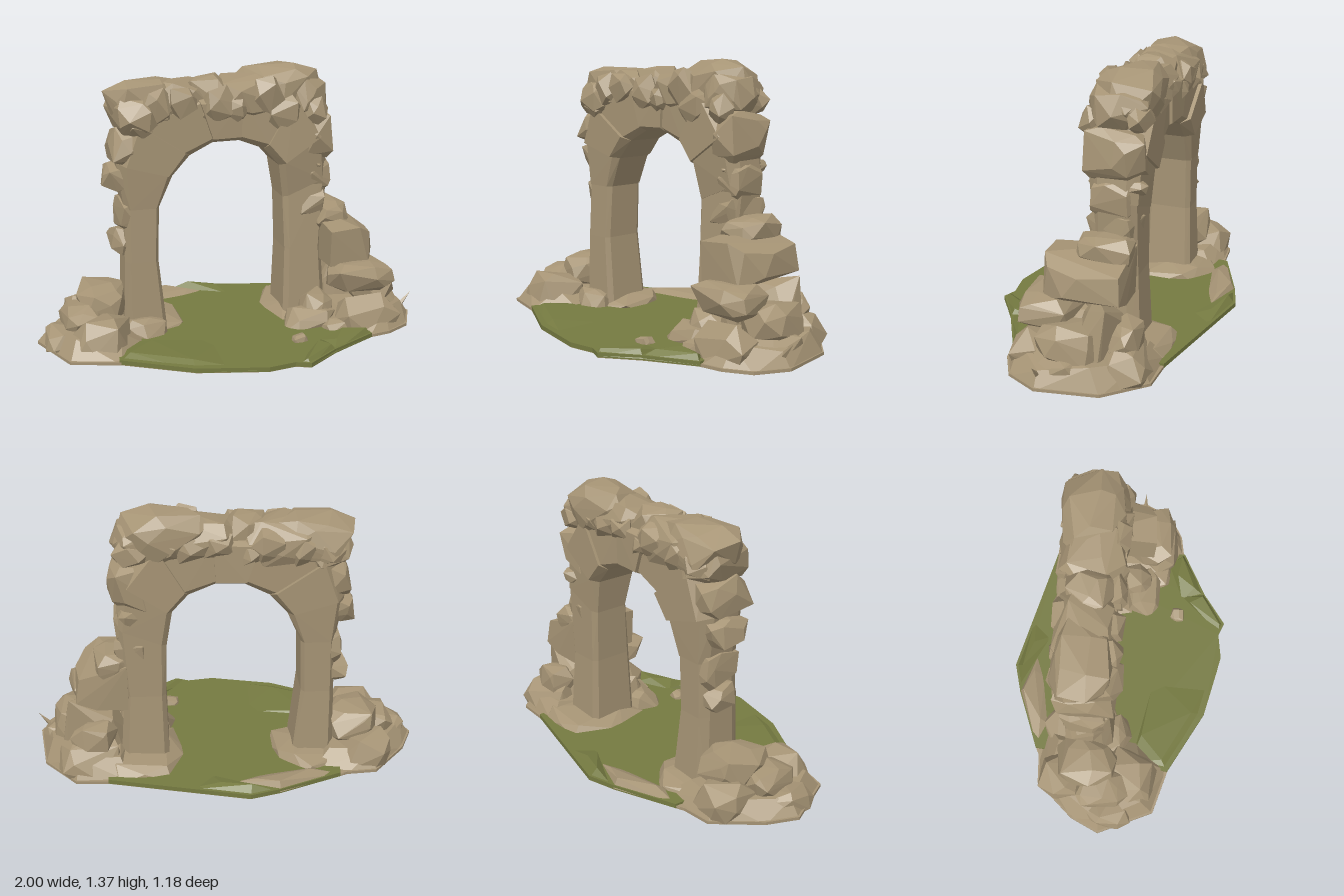
import * as THREE from 'three';
import { ConvexGeometry } from 'three/addons/geometries/ConvexGeometry.js';

const stone = new THREE.MeshStandardMaterial({ color: 0xa69475, flatShading: true });
stone.name = 'stone';
const moss = new THREE.MeshStandardMaterial({ color: 0x757a41, flatShading: true });
moss.name = 'moss';

// small seeded generator
function seeded(seed) {
  let s = seed * 7919 + 13;
  return () => {
    s = (s + 0x6d2b79f5) | 0;
    let t = Math.imul(s ^ (s >>> 15), 1 | s);
    t = (t + Math.imul(t ^ (t >>> 7), 61 | t)) ^ t;
    return ((t ^ (t >>> 14)) >>> 0) / 4294967296;
  };
}

// faceted boulder filling the box [x0,x1, y0,y1, z0,z1]; boulders on the ground get a flat foot
function rock(box, seed, n = 22, power = 0.7) {
  const rand = seeded(seed), pts = [];
  const [x0, x1, y0, y1, z0, z1] = box;
  const square = v => Math.sign(v) * Math.pow(Math.abs(v), power);
  for (let i = 0; i < n; i++) {
    const h = 1 - 2 * (i + 0.5) / n, a = i * 2.39996 + rand() * 0.9, r = Math.sqrt(1 - h * h);
    const p = new THREE.Vector3(square(r * Math.cos(a)), square(h), square(r * Math.sin(a)));
    p.multiplyScalar(0.86 + rand() * 0.28);
    if (y0 === 0 && p.y < 0) p.y = 0;
    pts.push(p);
  }
  const b = new THREE.Box3().setFromPoints(pts), size = b.getSize(new THREE.Vector3());
  for (const p of pts) {
    p.sub(b.min).divide(size);
    p.set(x0 + p.x * (x1 - x0), y0 + p.y * (y1 - y0), z0 + p.z * (z1 - z0));
  }
  return new ConvexGeometry(pts);
}

// faceted block through given corners
const hull = corners => new ConvexGeometry(corners.map(c => new THREE.Vector3(...c)));

// flat plate from an outline of [x, z] points
function plate(outline, bottom, top) {
  const shape = new THREE.Shape(outline.map(([x, z]) => new THREE.Vector2(x, -z)));
  const g = new THREE.ExtrudeGeometry(shape, { depth: top - bottom, bevelEnabled: false });
  return g.rotateX(-Math.PI / 2).translate(0, bottom, 0);
}

// chamfered cross-section of the arch between an inner and an outer point
function section([ix, iy, ox, oy, zf, zb], bulge) {
  const at = (t, z) => new THREE.Vector3(ix + (ox - ix) * t, iy + (oy - iy) * t, z);
  const d = zf - zb, f = zf + bulge, b = zb - bulge;
  return [at(0, zf - d * 0.1), at(0.1, f), at(0.85, f), at(1, zf - d * 0.2),
    at(1, zb + d * 0.2), at(0.85, b), at(0.1, b), at(0, zb + d * 0.1)];
}

export function createModel() {
  const model = new THREE.Group();
  model.name = 'rockArch';

  function add(name, geometry, material = stone, parent = model) {
    const m = new THREE.Mesh(geometry, material);
    m.name = name;
    parent.add(m);
    return m;
  }
  function pile(name, boxes, seed, n, power) {
    const g = new THREE.Group();
    g.name = name;
    boxes.forEach((b, i) => add(name + 'Rock' + (i + 1), rock(b, seed + i, n, power), stone, g));
    model.add(g);
  }

  // ground: stone slab with a mossy plate across the middle
  add('groundSlab', plate([
    [-1, -0.05], [-0.93, -0.2], [-0.75, -0.4], [-0.6, -0.41], [-0.24, -0.55], [-0.09, -0.59],
    [0.6, -0.42], [0.77, -0.41], [0.94, -0.22], [0.99, 0.08], [0.91, 0.24], [0.78, 0.31],
    [0.66, 0.33], [0.42, 0.46], [0.25, 0.58], [0.18, 0.55], [0.04, 0.57], [-0.3, 0.49],
    [-0.63, 0.31], [-0.87, 0.24]], 0, 0.015));
  add('mossGround', plate([
    [-0.64, 0.305], [-0.3, 0.493], [0.04, 0.573], [0.18, 0.553], [0.25, 0.583], [0.42, 0.463],
    [0.67, 0.333], [0.61, -0.42], [-0.09, -0.593], [-0.24, -0.553], [-0.56, -0.43], [-0.6, 0]],
    0.003, 0.026), moss);

  // low mossy swells along the rim
  add('frontMossSwell', hull([[0.19, 0.01, 0.554], [0.25, 0.01, 0.583], [0.43, 0.01, 0.46],
    [0.4, 0.02, 0.33], [0.24, 0.04, 0.555], [0.4, 0.05, 0.45], [0.36, 0.045, 0.38]]), moss);
  add('sideMossSwell', hull([[0.41, 0.01, 0.47], [0.67, 0.01, 0.333], [0.6, 0.02, 0.24],
    [0.38, 0.02, 0.33], [0.45, 0.05, 0.4], [0.64, 0.055, 0.32], [0.52, 0.06, 0.3]]), moss);
  add('leftMossSwell', hull([[-0.64, 0.01, 0.305], [-0.3, 0.01, 0.493], [-0.02, 0.01, 0.56],
    [-0.1, 0.02, 0.2], [-0.6, 0.02, 0.1], [-0.58, 0.045, 0.27], [-0.3, 0.042, 0.42],
    [-0.45, 0.042, 0.15]]), moss);
  add('backMossSwell', hull([[-0.24, 0.01, -0.553], [-0.09, 0.01, -0.593], [0.25, 0.01, -0.507],
    [0.1, 0.02, -0.4], [-0.1, 0.06, -0.55], [0.05, 0.045, -0.5]]), moss);
  add('backStonePatch', hull([[-0.58, 0.01, -0.42], [-0.24, 0.01, -0.555], [-0.02, 0.02, -0.47],
    [-0.15, 0.02, -0.42], [-0.42, 0.02, -0.37], [-0.24, 0.06, -0.53], [-0.4, 0.05, -0.42],
    [-0.12, 0.045, -0.48]]));

  // sloping stone aprons out to the rim
  add('leftApron', hull([[-1, 0, -0.05], [-0.93, 0, -0.2], [-0.75, 0, -0.4], [-0.6, 0, -0.41],
    [-0.42, 0, -0.38], [-0.46, 0, 0.12], [-0.63, 0, 0.31], [-0.87, 0, 0.24], [-0.94, 0.085, -0.05],
    [-0.74, 0.1, -0.34], [-0.52, 0.09, -0.3], [-0.6, 0.1, 0.15], [-0.83, 0.1, 0.17]]));
  add('rightApron', hull([[0.5, 0, -0.41], [0.77, 0, -0.41], [0.94, 0, -0.22], [0.99, 0, 0.08],
    [0.91, 0, 0.24], [0.78, 0, 0.31], [0.66, 0, 0.33], [0.46, 0, 0.2], [0.55, 0.1, -0.33],
    [0.76, 0.11, -0.35], [0.9, 0.12, -0.16], [0.94, 0.08, 0.08], [0.78, 0.11, 0.24], [0.56, 0.1, 0.16]]));

  // arch ring: ix, iy, ox, oy, front z, back z at every joint
  const joints = [
    [-0.33, 0, -0.55, 0, 0.0, -0.27],
    [-0.37, 0.4, -0.54, 0.4, -0.01, -0.25],
    [-0.36, 0.68, -0.535, 0.68, -0.02, -0.25],
    [-0.29, 0.84, -0.57, 0.92, -0.01, -0.26],
    [-0.2, 0.94, -0.5, 1.14, -0.01, -0.26],
    [-0.08, 1.0, -0.16, 1.24, -0.01, -0.26],
    [0.06, 1.0, 0.07, 1.25, -0.02, -0.25],
    [0.19, 0.95, 0.36, 1.24, -0.01, -0.26],
    [0.27, 0.86, 0.52, 1.03, 0.0, -0.26],
    [0.3, 0.68, 0.55, 0.78, -0.03, -0.25],
    [0.31, 0.4, 0.52, 0.4, -0.01, -0.25],
    [0.3, 0, 0.55, 0, 0.01, -0.27]];
  const bulges = [0, 0, 0.005, 0.025, 0.005, 0.025, 0.01, 0.025, 0.005, 0, 0];
  const ring = new THREE.Group();
  ring.name = 'archRing';
  model.add(ring);
  bulges.forEach((b, i) => add('archBlock' + (i + 1),
    new ConvexGeometry([...section(joints[i], b), ...section(joints[i + 1], b)]), stone, ring));

  // weathered boulders along the top and the shoulders
  pile('archCap', [
    [-0.62, -0.2, 1.08, 1.32, -0.29, 0.01],
    [-0.48, -0.03, 1.08, 1.31, -0.29, 0.01],
    [-0.2, 0.03, 1.08, 1.33, -0.25, 0.0],
    [-0.04, 0.32, 1.09, 1.33, -0.29, 0.02],
    [0.08, 0.54, 1.08, 1.37, -0.31, 0.01],
    [0.3, 0.56, 1.1, 1.32, -0.29, 0.02]], 20, 34, 0.78);
  pile('leftShoulder', [
    [-0.6, -0.36, 1.04, 1.26, -0.29, 0.05],
    [-0.6, -0.36, 0.88, 1.1, -0.28, 0.02],
    [-0.64, -0.44, 0.77, 0.91, -0.25, -0.03],
    [-0.61, -0.46, 0.42, 0.57, -0.24, -0.04],
    [-0.57, -0.44, 0.54, 0.72, -0.25, -0.02]], 40);
  pile('rightShoulder', [
    [0.34, 0.58, 0.86, 1.13, -0.29, 0.03],
    [0.38, 0.56, 0.68, 0.9, -0.26, -0.01],
    [0.38, 0.56, 0.54, 0.72, -0.26, 0.0],
    [0.42, 0.54, 0.8, 0.88, -0.3, 0.0]], 50, 24, 0.6);

  // jagged chips on the front and the back of the arch top
  const chips = [], rand = seeded(9);
  for (let i = 0; i < 16; i++) {
    const x = -0.5 + (i >> 1) * 0.133 + rand() * 0.05, y = 1.21 - 0.3 * x * x + (rand() - 0.5) * 0.1;
    const z = i % 2 ? -0.25 : -0.015, w = 0.07 + rand() * 0.03, h = 0.06 + rand() * 0.04;
    chips.push([x - w, x + w, y - h, y + h, z - 0.055, z + 0.055]);
  }
  pile('archChip', chips, 60, 12, 1);

  // rubble around the left foot
  pile('leftRubble', [
    [-0.64, -0.22, 0, 0.08, -0.4, 0.07],
    [-0.6, -0.34, 0, 0.11, -0.1, 0.1],
    [-0.97, -0.74, 0, 0.11, -0.17, 0.12],
    [-0.84, -0.56, 0, 0.17, -0.39, -0.08],
    [-0.86, -0.54, 0, 0.18, -0.02, 0.26],
    [-0.79, -0.53, 0.06, 0.27, -0.3, 0.03],
    [-0.88, -0.66, 0.04, 0.2, -0.18, 0.1]], 80, 26, 0.75);

  // tall rubble heap leaning on the right foot
  add('largeBoulder', hull([[0.5, 0.34, 0.15], [0.5, 0.53, 0.16], [0.66, 0.54, 0.15],
    [0.73, 0.5, 0.11], [0.77, 0.48, -0.05], [0.74, 0.5, -0.24], [0.5, 0.57, -0.25],
    [0.78, 0.38, 0.02], [0.76, 0.37, -0.25], [0.72, 0.33, 0.14], [0.66, 0.33, -0.25], [0.5, 0.32, -0.24]]));
  pile('rightRubble', [
    [0.2, 0.7, 0, 0.08, -0.42, 0.08],
    [0.47, 0.67, 0.48, 0.63, -0.26, 0.03],
    [0.48, 0.84, 0.18, 0.36, -0.02, 0.26],
    [0.5, 0.85, 0, 0.36, -0.25, 0.0],
    [0.54, 0.88, 0, 0.2, -0.4, -0.14],
    [0.66, 0.95, 0, 0.16, -0.14, 0.2],
    [0.66, 0.91, 0.06, 0.27, -0.18, 0.14],
    [0.52, 0.86, 0, 0.19, 0.06, 0.3],
    [0.25, 0.56, 0, 0.11, 0.0, 0.2],
    [0.36, 0.56, 0, 0.18, -0.02, 0.17],
    [0.56, 0.8, 0.08, 0.26, -0.33, -0.18],
    [0.44, 0.66, 0, 0.07, 0.12, 0.26],
    [0.24, 0.33, 0, 0.06, 0.27, 0.35]], 100, 24);

  // thin shard leaning outward at the rim
  const shard = add('stoneShard', new THREE.ConeGeometry(0.02, 0.12, 4));
  shard.position.set(0.96, 0.08, 0.08);
  shard.rotation.z = -0.7;

  return model;
}
